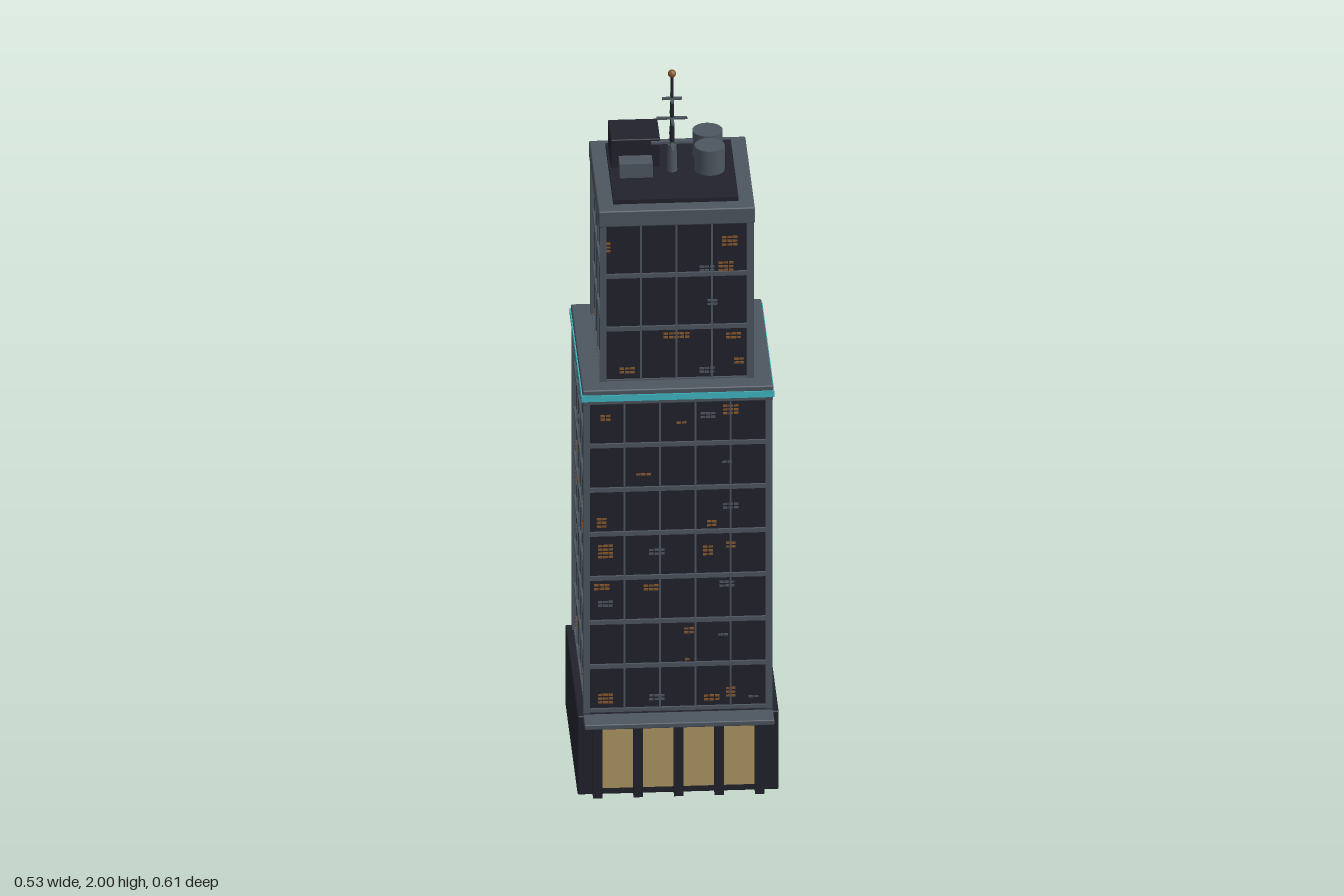
import * as THREE from 'three';
import { mergeGeometries } from 'three/addons/utils/BufferGeometryUtils.js';
import { RoundedBoxGeometry } from 'three/addons/geometries/RoundedBoxGeometry.js';

const material = (name, color) => {
  const m = new THREE.MeshStandardMaterial({ color });
  m.name = name;
  return m;
};

export function createModel() {
  const dark = material('darkCladding', 0x22222d);
  const steel = material('greySteel', 0x4d5660);
  const cyan = material('cyanLight', 0x3fb8c4);
  const lobby = material('lobbyGlass', 0xae9763);
  const amber = material('amberWindow', 0x85572b);

  const model = new THREE.Group();
  model.name = 'officeTower';
  const tower = new THREE.Group();
  tower.name = 'tower';
  tower.position.z = -0.02;
  model.add(tower);

  const add = (parent, name, geometry, mat, x = 0, y = 0, z = 0) => {
    const mesh = new THREE.Mesh(geometry, mat);
    mesh.name = name;
    mesh.position.set(x, y, z);
    parent.add(mesh);
    return mesh;
  };
  // Box given by its width, depth and bottom/top heights
  const block = (parent, name, mat, w, d, y0, y1, x = 0, z = 0, bevel = 0) =>
    add(parent, name, bevel ? new RoundedBoxGeometry(w, y1 - y0, d, 2, bevel)
      : new THREE.BoxGeometry(w, y1 - y0, d), mat, x, (y0 + y1) / 2, z);

  // Podium with piers front and back, lobby glass and canopy
  block(tower, 'podium', dark, 0.53, 0.53, 0, 0.232, 0, 0, 0.004);
  for (let i = -2; i <= 2; i++) {
    for (const s of [-1, 1]) {
      block(tower, s > 0 ? 'frontPier' : 'backPier', dark, 0.024, 0.028, 0, 0.22, i * 0.1067, s * 0.274);
    }
  }
  for (let i = 0; i < 4; i++) {
    block(tower, 'lobbyWindow', lobby, 0.085, 0.006, 0.02, 0.212, (i - 1.5) * 0.1067, 0.266);
  }
  block(tower, 'canopy', steel, 0.5, 0.065, 0.221, 0.236, 0, 0.2925, 0.003);

  // Lit window clusters: [x, y, columns, rows, amber?]
  const lowerLights = [
    [0.14, 1.115, 3, 3, 1], [0.08, 1.1, 3, 2, 0], [0.01, 1.08, 2, 1, 1], [-0.19, 1.1, 2, 2, 1],
    [-0.09, 0.93, 3, 1, 1], [0.13, 0.96, 2, 1, 0], [-0.2, 0.79, 2, 3, 1], [0.14, 0.83, 3, 2, 0],
    [0.09, 0.78, 2, 2, 1], [-0.19, 0.705, 3, 4, 1], [-0.055, 0.7, 3, 2, 0], [0.14, 0.715, 2, 2, 1],
    [0.08, 0.7, 2, 3, 1], [-0.2, 0.6, 3, 2, 1], [-0.19, 0.55, 3, 2, 0], [-0.07, 0.595, 3, 2, 1],
    [0.13, 0.6, 3, 2, 0], [0.03, 0.465, 2, 2, 1], [0.12, 0.45, 2, 1, 0], [0.025, 0.38, 1, 1, 1],
    [-0.19, 0.27, 3, 3, 1], [-0.055, 0.27, 3, 2, 0], [0.09, 0.265, 3, 2, 1], [0.14, 0.28, 2, 3, 1],
    [0.2, 0.265, 2, 1, 0],
  ];
  const upperLights = [
    [0.14, 1.59, 3, 3, 1], [-0.18, 1.58, 1, 3, 1], [0.13, 1.515, 3, 3, 1], [0.08, 1.51, 3, 2, 0],
    [0, 1.315, 5, 2, 1], [0.095, 1.41, 2, 2, 0], [0.15, 1.31, 3, 2, 1], [-0.13, 1.215, 3, 2, 1],
    [0.08, 1.21, 3, 2, 0], [0.165, 1.235, 2, 2, 1],
  ];
  const lightPlates = (clusters, lit, z) => mergeGeometries(clusters
    .filter((c) => c[4] === lit)
    .flatMap(([x, y, cols, rows]) => Array.from({ length: cols * rows }, (_, k) =>
      new THREE.BoxGeometry(0.012, 0.006, 0.002)
        .translate(x + (k % cols - (cols - 1) / 2) * 0.014,
          y + (Math.floor(k / cols) - (rows - 1) / 2) * 0.011, z))));

  // Shaft: dark glass core, corner posts and the same gridded facade on four sides
  const shaft = (name, half, y0, y1, bays, floors, lights) => {
    const group = new THREE.Group();
    group.name = name;
    tower.add(group);
    const glass = half - 0.01, inner = half - 0.016;
    block(group, 'glassCore', dark, glass * 2, glass * 2, y0, y1);
    for (const sx of [-1, 1]) for (const sz of [-1, 1]) {
      block(group, 'cornerPost', steel, 0.018, 0.018, y0, y1, sx * (half - 0.009), sz * (half - 0.009));
    }
    for (let side = 0; side < 4; side++) {
      const facade = new THREE.Group();
      facade.name = 'facade';
      facade.rotation.y = side * Math.PI / 2;
      group.add(facade);
      for (let i = 1; i < bays; i++) {
        block(facade, 'mullion', steel, 0.005, 0.008, y0, y1, inner * (2 * i / bays - 1), glass);
      }
      for (let i = 0; i < floors; i++) {
        const y = y0 + (y1 - y0) * i / floors + 0.004;
        block(facade, 'floorBand', steel, inner * 2, 0.012, y - 0.006, y + 0.006, 0, glass);
      }
      add(facade, 'amberWindows', lightPlates(lights, 1, glass + 0.001), amber);
      add(facade, 'dimWindows', lightPlates(lights, 0, glass + 0.001), steel);
    }
  };
  shaft('lowerShaft', 0.249, 0.232, 1.145, 5, 7, lowerLights);
  shaft('upperShaft', 0.203, 1.18, 1.647, 4, 3, upperLights);

  // Setback cornice with glowing strip, and roof parapet
  block(tower, 'setbackCornice', steel, 0.502, 0.502, 1.143, 1.187, 0, 0, 0.004);
  block(tower, 'lightStrip', cyan, 0.508, 0.508, 1.155, 1.173);
  block(tower, 'roofParapet', steel, 0.412, 0.412, 1.645, 1.692, 0, 0, 0.004);
  block(tower, 'roofDeck', dark, 0.33, 0.33, 1.68, 1.704);

  // Rooftop plant
  block(tower, 'plantRoom', dark, 0.13, 0.118, 1.7, 1.786, -0.095, -0.081, 0.003);
  block(tower, 'ventUnit', steel, 0.087, 0.05, 1.7, 1.745, -0.0965, 0.015);
  for (const z of [-0.088, 0]) {
    add(tower, 'waterTank', new THREE.CylinderGeometry(0.04, 0.04, 0.075, 24), steel, 0.099, 1.7375, z);
  }

  // Antenna mast with crossed arms and beacon
  add(tower, 'mastBase', new THREE.CylinderGeometry(0.012, 0.014, 0.08, 12), steel, 0, 1.742, 0);
  add(tower, 'mast', new THREE.CylinderGeometry(0.003, 0.007, 0.22, 8), dark, 0, 1.885, 0);
  for (const [y, length] of [[1.786, 0.11], [1.858, 0.08], [1.916, 0.053]]) {
    block(tower, 'mastArm', steel, length, 0.008, y - 0.003, y + 0.003);
    block(tower, 'mastArm', steel, 0.008, length, y - 0.003, y + 0.003);
  }
  add(tower, 'beacon', new THREE.SphereGeometry(0.011, 12, 8), amber, 0, 1.989, 0);

  return model;
}
